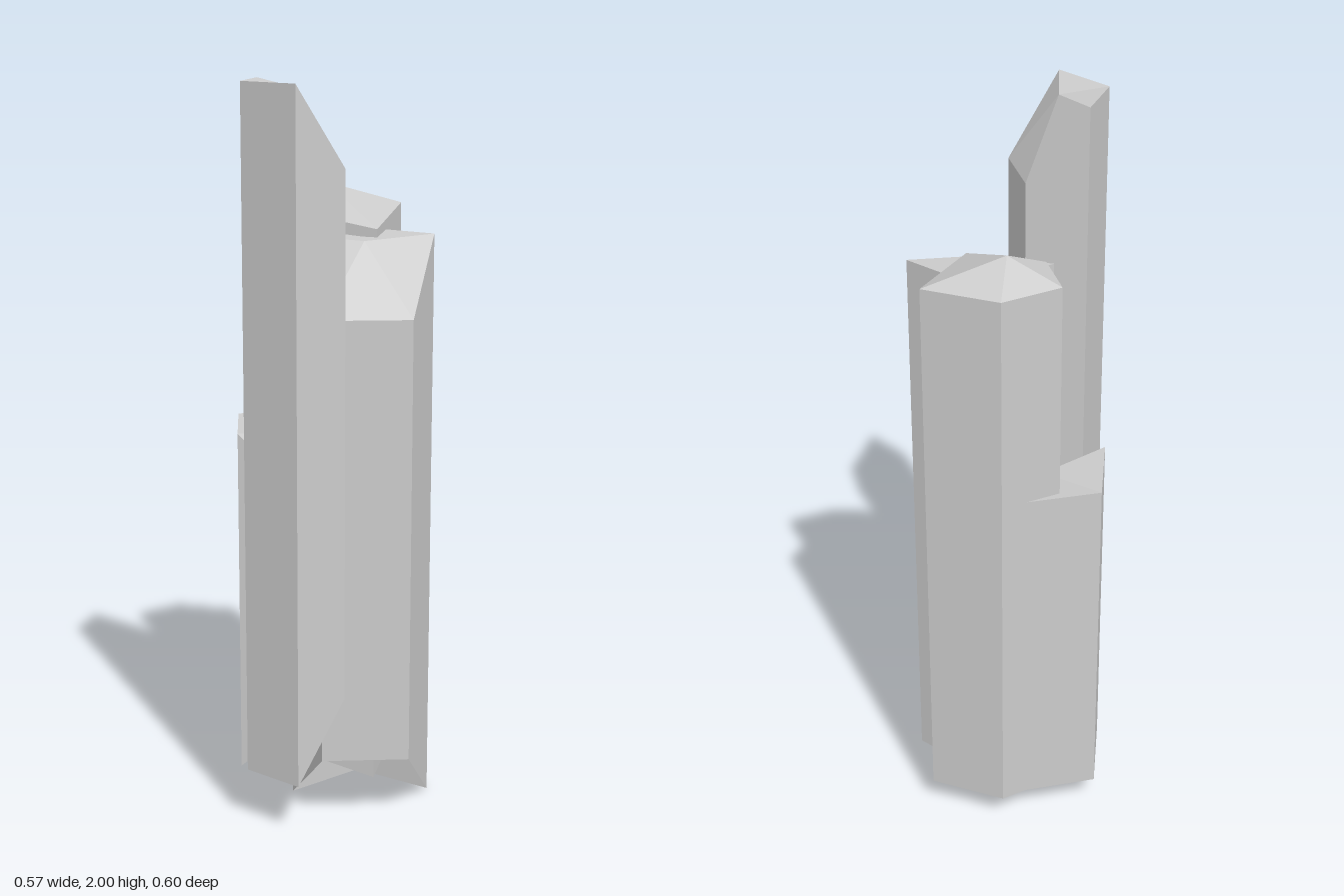
import * as THREE from 'three';

// Open-bottomed faceted column. ring: [x, z, bottomY, topY] per corner, tip: [x, y, z]
function crystal(name, tip, ring) {
  const pos = [];
  const add = (...pts) => pts.forEach((p) => pos.push(...p));
  ring.forEach(([x, z, low, high], i) => {
    const [x2, z2, low2, high2] = ring[(i + 1) % ring.length];
    const a = [x, low, z], b = [x2, low2, z2];
    const c = [x2, high2, z2], d = [x, high, z];
    add(a, b, c, a, c, d); // side wall
    add(d, c, tip); // roof facet
  });
  const geo = new THREE.BufferGeometry();
  geo.setAttribute('position', new THREE.Float32BufferAttribute(pos, 3));
  geo.computeVertexNormals();
  const mesh = new THREE.Mesh(geo, new THREE.MeshStandardMaterial({
    color: 0xcccccc, flatShading: true, side: THREE.DoubleSide,
  }));
  mesh.name = name;
  return mesh;
}

export function createModel() {
  const group = new THREE.Group();
  group.name = 'crystalCluster';

  // Corners run from front to right to back to left, seen from above
  group.add(
    crystal('tallCrystal', [-0.155, 1.985, 0.145], [
      [-0.195, 0.287, 0.155, 2], [-0.048, 0.247, 0.37, 1.785],
      [-0.048, 0.068, 0.37, 1.785], [-0.195, -0.004, 0.155, 2],
      [-0.285, 0.131, 0.155, 2],
    ]),
    crystal('frontCrystal', [0.06, 1.58, 0.105], [
      [0.12, 0.297, 0.19, 1.4], [0.26, 0.105, 0, 1.59],
      [0.122, -0.085, 0, 1.59], [-0.104, -0.012, 0, 1.59],
      [-0.104, 0.226, 0.19, 1.4],
    ]),
    crystal('backCrystal', [0.062, 1.705, -0.176], [
      [0.108, 0.076, 0.045, 1.605], [0.283, -0.176, 0.08, 1.64],
      [0.108, -0.3, 0.08, 1.64], [-0.059, -0.254, 0.08, 1.64],
      [-0.059, -0.1, 0.08, 1.64],
    ]),
    crystal('shortCrystal', [-0.05, 1.03, -0.118], [
      [-0.05, 0.08, 0.29, 0.83], [0.14, -0.056, 0.29, 0.83],
      [0.069, -0.28, 0.08, 1.05], [-0.165, -0.283, 0.08, 1.05],
      [-0.241, -0.059, 0.08, 1.05],
    ]),
  );
  return group;
}
